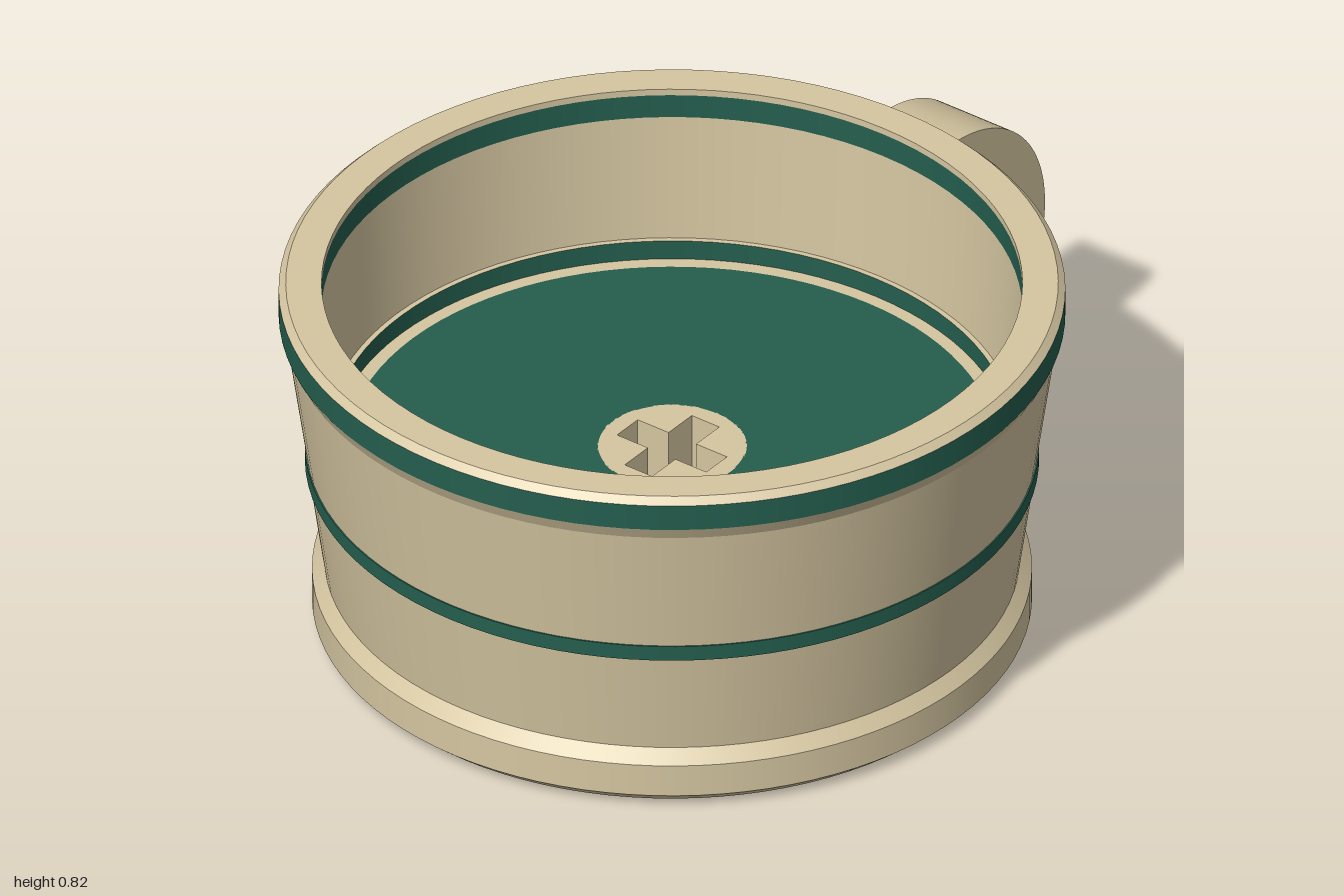
import * as THREE from 'three';
import { mergeGeometries, toCreasedNormals } from 'three/addons/utils/BufferGeometryUtils.js';

const AXIS_X = -0.175;

export function createModel() {
  const cream = new THREE.MeshStandardMaterial({ color: 0xd5c6a1 });
  cream.name = 'cream';
  const green = new THREE.MeshStandardMaterial({ color: 0x245e4e });
  green.name = 'darkGreen';

  const model = new THREE.Group();
  model.name = 'cup';
  const body = new THREE.Group();
  body.name = 'body';
  body.position.x = AXIS_X;
  model.add(body);

  const add = (parent, name, geometry, material) => {
    const mesh = new THREE.Mesh(geometry, material);
    mesh.name = name;
    parent.add(mesh);
    return mesh;
  };

  // Turned surface: smooth around the axis, sharp between profile points
  const turned = (name, material, ...profile) => {
    const rings = profile.slice(1).map((p, i) =>
      new THREE.LatheGeometry([new THREE.Vector2(...profile[i]), new THREE.Vector2(...p)], 96));
    return add(body, name, mergeGeometries(rings), material);
  };

  // Outside, from the foot up to the lip
  turned('footAndLowerWall', cream,
    [0.68, 0], [0.72, 0], [0.755, 0.03], [0.755, 0.105], [0.73, 0.135], [0.764, 0.38]);
  turned('middleBand', green, [0.764, 0.38], [0.77, 0.38], [0.77, 0.415], [0.767, 0.415]);
  turned('upperWall', cream, [0.767, 0.415], [0.81, 0.715], [0.825, 0.745]);
  turned('rimBand', green, [0.825, 0.745], [0.825, 0.805]);
  turned('lip', cream, [0.825, 0.805], [0.81, 0.82], [0.735, 0.82], [0.735, 0.805]);

  // Inside, from the lip down to the floor
  turned('innerRimBand', green, [0.735, 0.805], [0.735, 0.75]);
  turned('innerWall', cream, [0.735, 0.75], [0.722, 0.455], [0.71, 0.455]);
  turned('innerLowerBand', green, [0.71, 0.455], [0.71, 0.41]);
  turned('floorRing', cream, [0.71, 0.41], [0.68, 0.41]);
  turned('floor', green, [0.68, 0.41], [0.155, 0.41]);

  // Hollow underside
  turned('floorUnderside', green, [0.155, 0.385], [0.68, 0.385]);
  turned('footInnerWall', cream, [0.68, 0.385], [0.68, 0]);

  // Central post with a cross-shaped socket in both ends
  const disc = new THREE.Shape().absarc(0, 0, 0.157, 0, Math.PI * 2);
  const w = 0.036, l = 0.117;
  const cross = [[w, w], [w, l], [-w, l], [-w, w], [-l, w], [-l, -w],
    [-w, -w], [-w, -l], [w, -l], [w, -w], [l, -w], [l, w]];
  disc.holes.push(new THREE.Path(cross.map(p => new THREE.Vector2(...p))));
  const post = new THREE.ExtrudeGeometry(disc, { depth: 0.41, bevelEnabled: false, curveSegments: 32 });
  post.rotateX(-Math.PI / 2);
  add(body, 'centrePost', toCreasedNormals(post, 0.6), cream);
  const web = new THREE.CylinderGeometry(0.14, 0.14, 0.02, 32);
  add(body, 'socketWeb', web, cream).position.y = 0.25;

  // Handle: a half ring with short straight arms into the wall
  const cy = 0.44, cx = 0.665;
  const ring = new THREE.Shape();
  ring.moveTo(0.53, cy - 0.316);
  ring.lineTo(cx, cy - 0.316);
  ring.absellipse(cx, cy, 0.335, 0.316, -Math.PI / 2, Math.PI / 2, false, 0);
  ring.lineTo(0.6, cy + 0.316);
  ring.lineTo(0.6, cy + 0.195);
  ring.lineTo(cx, cy + 0.195);
  ring.absellipse(cx, cy, 0.195, 0.195, Math.PI / 2, -Math.PI / 2, true, 0);
  ring.lineTo(0.53, cy - 0.195);
  ring.closePath();
  const handle = new THREE.ExtrudeGeometry(ring, { depth: 0.19, bevelEnabled: false, curveSegments: 32 });
  handle.translate(0, 0, -0.095);
  add(model, 'handle', toCreasedNormals(handle, 0.6), cream);

  return model;
}
